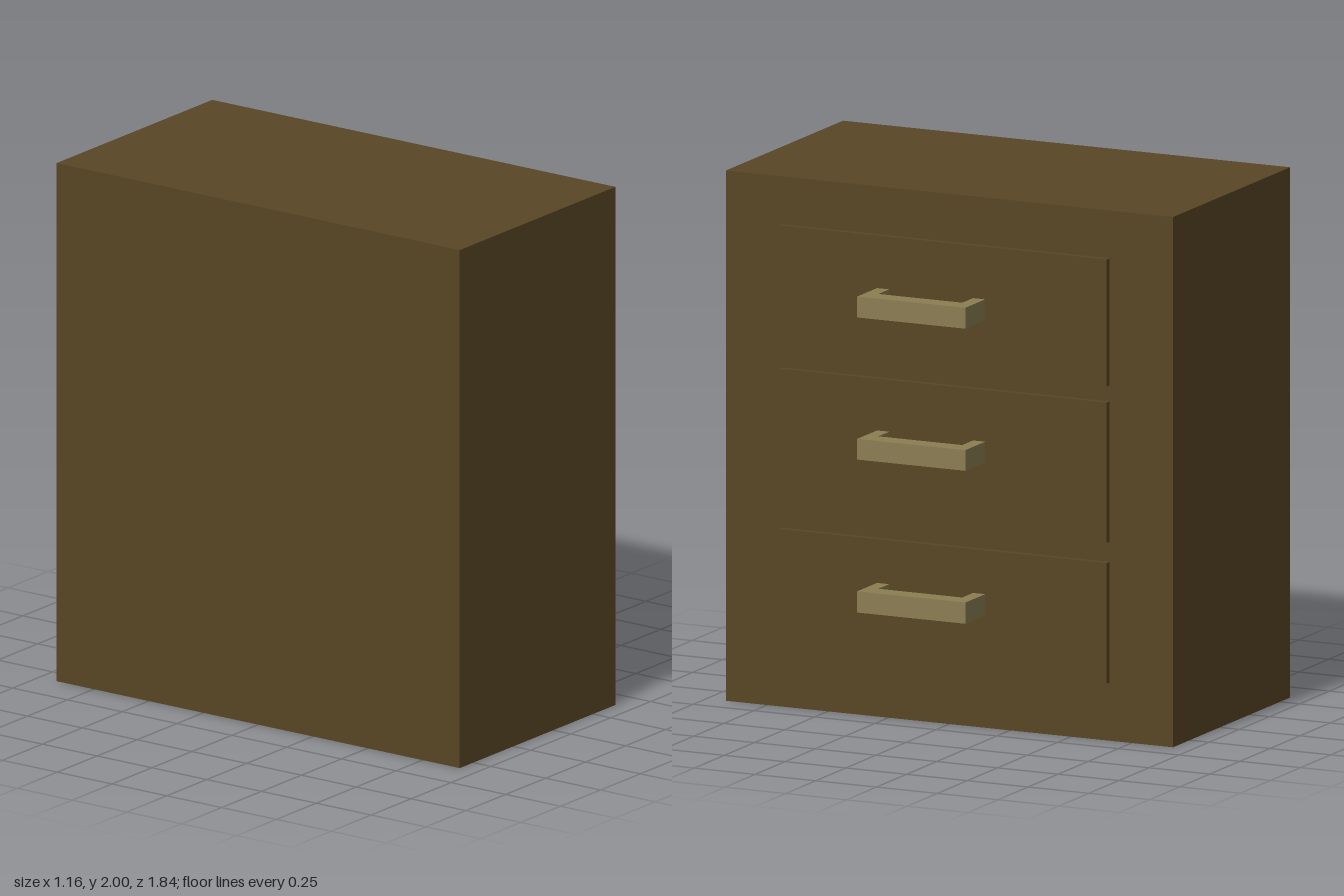
import * as THREE from 'three';

const wood = new THREE.MeshStandardMaterial({ color: 0x584624, flatShading: true });
const brass = new THREE.MeshStandardMaterial({ color: 0x8b7e52, flatShading: true });

// Box given by its minimum and maximum corners
function box(name, min, max) {
  const [w, h, d] = max.map((v, i) => v - min[i]);
  const mesh = new THREE.Mesh(new THREE.BoxGeometry(w, h, d), wood);
  mesh.position.set(...max.map((v, i) => (v + min[i]) / 2));
  mesh.name = name;
  return mesh;
}

// U-shaped pull: outline drawn in x and z, extruded through its height
function handle(bottom, top) {
  const outline = new THREE.Shape([
    [0.415, -0.16], [0.58, -0.16], [0.58, 0.285], [0.415, 0.285],
    [0.415, 0.235], [0.505, 0.235], [0.505, -0.11], [0.415, -0.11],
  ].map(([x, z]) => new THREE.Vector2(x, z)));
  const geometry = new THREE.ExtrudeGeometry(outline, { depth: top - bottom, bevelEnabled: false });
  geometry.rotateX(Math.PI / 2);
  const mesh = new THREE.Mesh(geometry, brass);
  mesh.position.y = top;
  mesh.name = 'handle';
  return mesh;
}

export function createModel() {
  const model = new THREE.Group();
  model.name = 'chestOfDrawers';
  model.add(box('cabinet', [-0.585, 0, -0.92], [0.39, 2, 0.92]));

  // Drawers: front panel and handle heights, bottom to top
  const drawers = [
    { panel: [0.22, 0.675], pull: [0.43, 0.51] },
    { panel: [0.75, 1.28], pull: [1.007, 1.085] },
    { panel: [1.34, 1.82], pull: [1.543, 1.622] },
  ];
  for (const { panel, pull } of drawers) {
    const drawer = new THREE.Group();
    drawer.name = 'drawer';
    drawer.add(
      box('drawerFront', [0.38, panel[0], -0.66], [0.415, panel[1], 0.687]),
      handle(...pull),
    );
    model.add(drawer);
  }
  return model;
}
